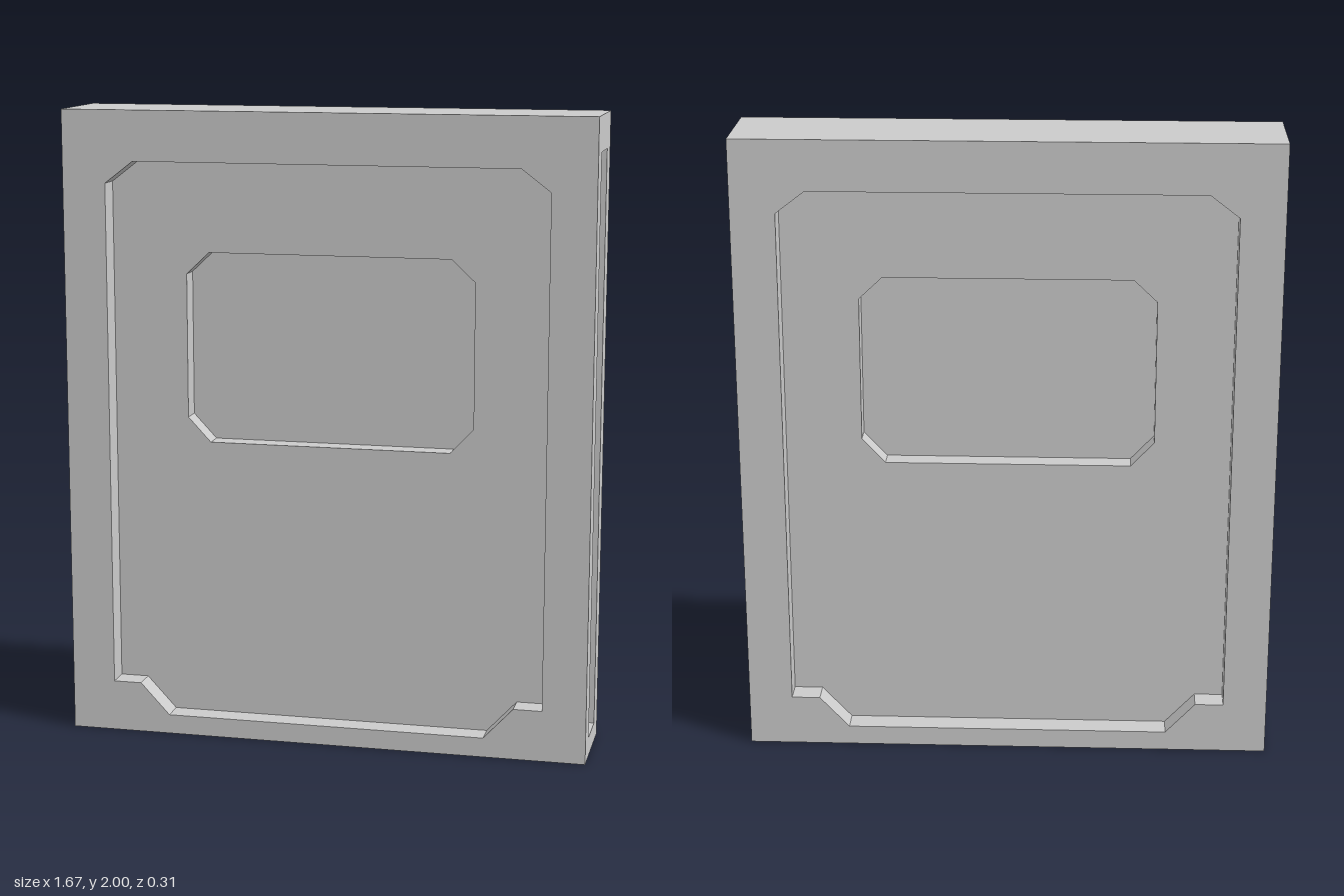
import * as THREE from 'three';
import { mergeGeometries } from 'three/addons/utils/BufferGeometryUtils.js';

const W = 0.834, H = 2, D = 0.153; // half width, height, half depth

// Full counter-clockwise outline from its right half, listed bottom to top
const outline = (half) =>
  [...half, ...half.map(([x, y]) => [-x, y]).reverse()].map(([x, y]) => new THREE.Vector2(x, y));
const rect = (hw, y0, y1) => outline([[hw, y0], [hw, y1]]);

// Inward-facing walls of a recess, from level z0 down to z1
function recessWalls(pts, z0, z1) {
  const pos = [];
  pts.forEach((a, i) => {
    const b = pts[(i + 1) % pts.length];
    pos.push(b.x, b.y, z1, a.x, a.y, z1, a.x, a.y, z0);
    pos.push(b.x, b.y, z1, a.x, a.y, z0, b.x, b.y, z0);
  });
  const g = new THREE.BufferGeometry();
  g.setAttribute('position', new THREE.Float32BufferAttribute(pos, 3));
  g.computeVertexNormals();
  return g;
}

// A face that steps inwards: each nested outline sits at its own level
function steppedFace(levels) {
  const parts = [];
  levels.forEach(([pts, z], i) => {
    const shape = new THREE.Shape(pts);
    const next = levels[i + 1];
    if (next) {
      shape.holes.push(new THREE.Path(next[0]));
      parts.push(recessWalls(next[0], z, next[1]));
    }
    const g = new THREE.ShapeGeometry(shape).toNonIndexed();
    g.deleteAttribute('uv');
    parts.push(g.translate(0, 0, z));
  });
  return mergeGeometries(parts);
}

export function createModel() {
  const model = new THREE.Group();
  model.name = 'panelSlab';
  const material = new THREE.MeshStandardMaterial({ color: 0xcccccc, flatShading: true });
  const add = (name, geometry) => {
    const mesh = new THREE.Mesh(geometry, material);
    mesh.name = name;
    model.add(mesh);
  };

  // Front and back: notched panel recess with a chamfered window recess inside
  const panel = outline([[0.512, 0.062], [0.606, 0.163], [0.696, 0.163], [0.696, 1.773], [0.606, 1.842]]);
  const windowOutline = outline([[0.385, 0.952], [0.458, 1.03], [0.458, 1.487], [0.385, 1.556]]);
  const broad = steppedFace([[rect(W, 0, H), D], [panel, 0.077], [windowOutline, 0.011]]);
  add('frontFace', broad);
  add('backFace', broad.clone().rotateY(Math.PI));

  // Sides: one tall slot each
  const side = steppedFace([[rect(D, 0, H), W], [rect(0.072, 0.062, 1.89), W - 0.097]]);
  add('leftSide', side.clone().rotateY(Math.PI / 2));
  add('rightSide', side.clone().rotateY(-Math.PI / 2));

  // Plain top and bottom
  add('top', steppedFace([[rect(W, -D, D), H]]).rotateX(-Math.PI / 2));
  add('bottom', steppedFace([[rect(W, -D, D), 0]]).rotateX(Math.PI / 2));
  return model;
}
